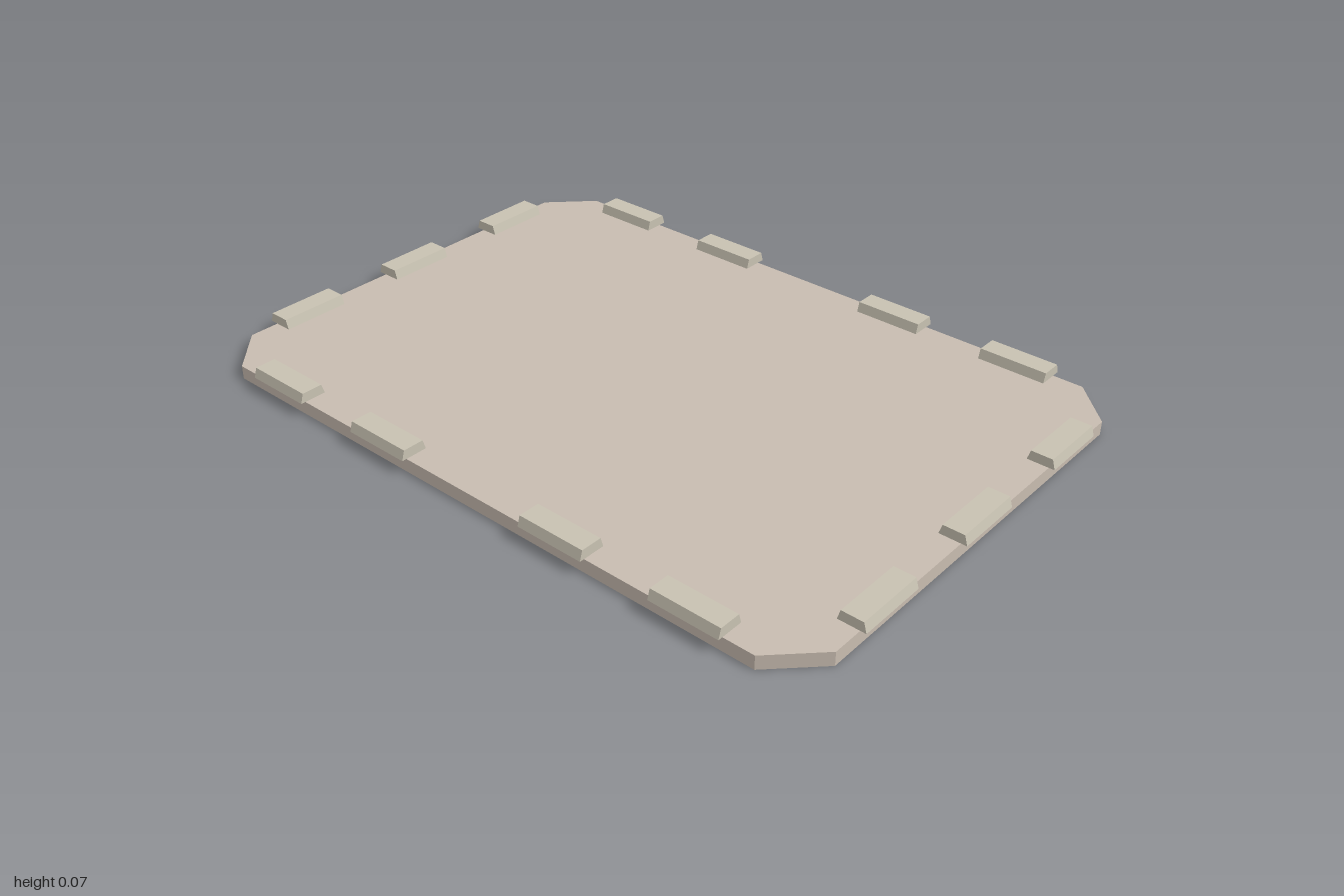
import * as THREE from 'three';

const PLATE_TOP = 0.038, PAD_BOTTOM = 0.042, PAD_TOP = 0.069, PAD_LENGTH = 0.195;

function polygon(points) {
  return new THREE.Shape(points.map(([x, y]) => new THREE.Vector2(x, y)));
}

export function createModel() {
  const model = new THREE.Group();
  model.name = 'tray';
  const plateMaterial = new THREE.MeshStandardMaterial({ color: 0xc8bcb0, flatShading: true });
  plateMaterial.name = 'warm stone';
  const padMaterial = new THREE.MeshStandardMaterial({ color: 0xc8c2b2, flatShading: true });
  padMaterial.name = 'pale stone';

  // Flat plate with cut corners
  const w = 0.982, d = 0.688, cw = 0.865, cd = 0.57;
  const outline = polygon([[cw, -d], [w, -cd], [w, cd], [cw, d], [-cw, d], [-w, cd], [-w, -cd], [-cw, -d]]);
  const plateGeometry = new THREE.ExtrudeGeometry(outline, { depth: PLATE_TOP, bevelEnabled: false });
  plateGeometry.rotateX(-Math.PI / 2);
  const plate = new THREE.Mesh(plateGeometry, plateMaterial);
  plate.name = 'basePlate';
  model.add(plate);

  // Raised pad with sloping long sides, lying along z
  const profile = polygon([[-0.0375, PAD_BOTTOM], [0.0375, PAD_BOTTOM], [0.0295, PAD_TOP], [-0.0295, PAD_TOP]]);
  const padGeometry = new THREE.ExtrudeGeometry(profile, { depth: PAD_LENGTH, bevelEnabled: false });
  padGeometry.translate(0, 0, -PAD_LENGTH / 2);

  function addPad(name, x, z, turn) {
    const pad = new THREE.Mesh(padGeometry, padMaterial);
    pad.name = name;
    pad.position.set(x, 0, z);
    pad.rotation.y = turn;
    model.add(pad);
  }

  // Four pads along front and back, three along each side
  for (const side of [1, -1]) {
    [-0.687, -0.297, 0.293, 0.685].forEach((x, i) =>
      addPad(`${side > 0 ? 'front' : 'back'}Pad${i + 1}`, x, side * 0.667, Math.PI / 2));
    [-0.393, 0, 0.391].forEach((z, i) =>
      addPad(`${side > 0 ? 'left' : 'right'}Pad${i + 1}`, side * 0.9625, z, 0));
  }
  return model;
}
